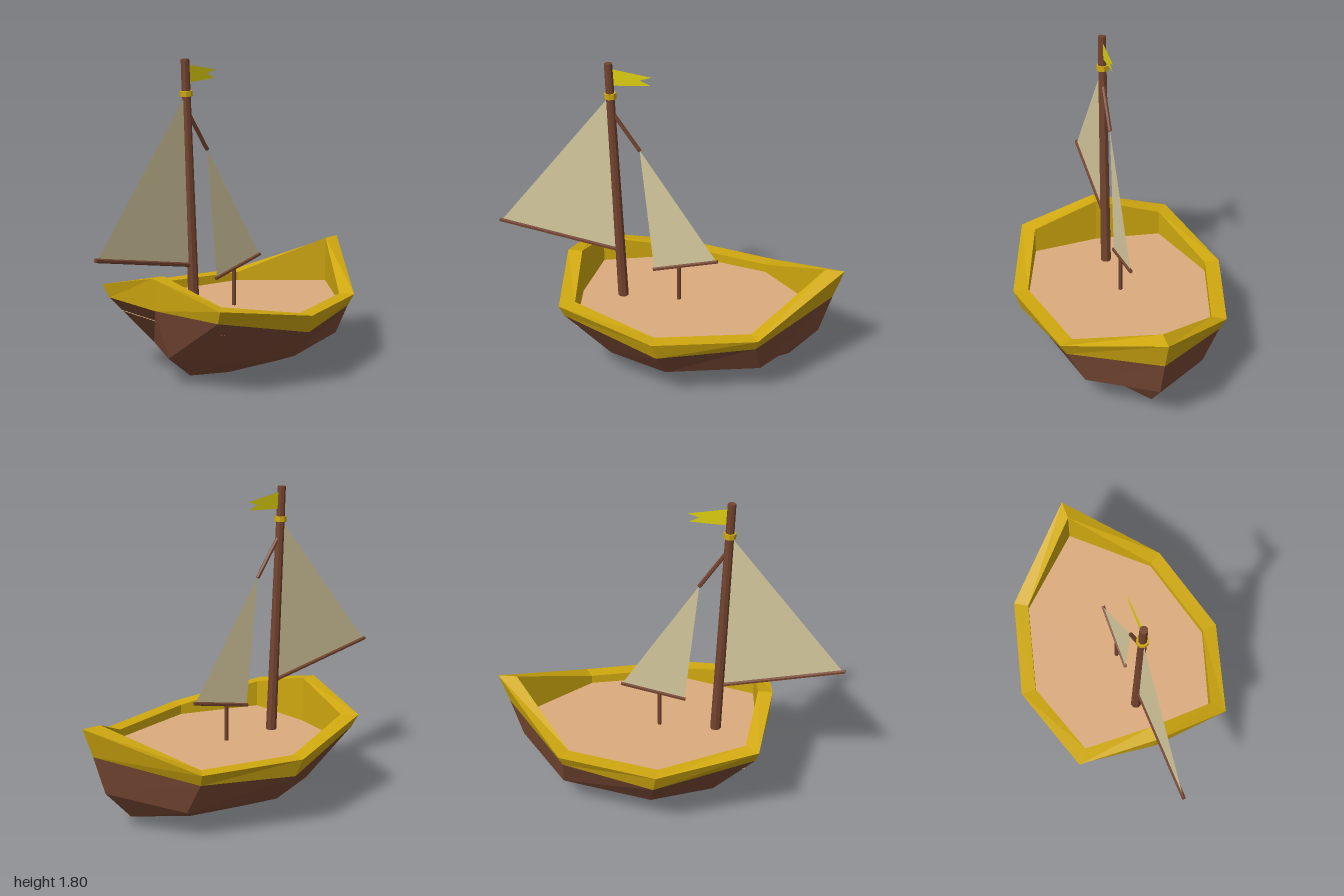
import * as THREE from 'three';

const mat = (name, color, opts = {}) => {
  const m = new THREE.MeshStandardMaterial({ color, flatShading: true, ...opts });
  m.name = name;
  return m;
};

// Closed ring from five half-outline points: stern, stern corner, midship, fore, bow
const ring = (half) => [
  ...half,
  ...half.slice(1, 4).reverse().map(([x, y, z]) => [-x, y, z]),
].map((p) => new THREE.Vector3(...p));

// Flat-faced skin between successive rings (a one-point ring closes the skin)
function loft(rings) {
  const pos = [];
  const tri = (...pts) => pts.forEach((p) => pos.push(p.x, p.y, p.z));
  for (let r = 0; r < rings.length - 1; r++) {
    const a = rings[r], b = rings[r + 1];
    for (let i = 0; i < 8; i++) {
      const j = (i + 1) % 8;
      if (a.length === 1) tri(a[0], b[j], b[i]);
      else if (b.length === 1) tri(a[i], a[j], b[0]);
      else {
        tri(a[i], a[j], b[j]);
        tri(a[i], b[j], b[i]);
      }
    }
  }
  const g = new THREE.BufferGeometry();
  g.setAttribute('position', new THREE.Float32BufferAttribute(pos, 3));
  g.computeVertexNormals();
  return g;
}

// Tapered pole in the centre plane between two [z, y] points
function pole([z0, y0], [z1, y1], r0, r1 = r0, sides = 6) {
  const a = new THREE.Vector3(0, y0, z0), b = new THREE.Vector3(0, y1, z1);
  const dir = b.clone().sub(a);
  const g = new THREE.CylinderGeometry(r1, r0, dir.length(), sides);
  g.applyQuaternion(new THREE.Quaternion().setFromUnitVectors(new THREE.Vector3(0, 1, 0), dir.normalize()));
  return g.translate(0, (y0 + y1) / 2, (z0 + z1) / 2);
}

// Flat cloth in the centre plane from [z, y] points
function cloth(points) {
  const shape = new THREE.Shape(points.map(([z, y]) => new THREE.Vector2(-z, y)));
  return new THREE.ShapeGeometry(shape).rotateY(Math.PI / 2);
}

export function createModel() {
  const boat = new THREE.Group();
  boat.name = 'sailingBoat';
  const hullBrown = mat('hullBrown', 0x7a4a35);
  const railGold = mat('railGold', 0xcfa80f);
  const deckTan = mat('deckTan', 0xdcab7e);
  const sparBrown = mat('sparBrown', 0x74442f);
  const sailCream = mat('sailCream', 0xd9cca0, { side: THREE.DoubleSide });
  const flagYellow = mat('flagYellow', 0xdfd010, { side: THREE.DoubleSide });

  const add = (name, geometry, material) => {
    const m = new THREE.Mesh(geometry, material);
    m.name = name;
    boat.add(m);
    return m;
  };

  // Hull cross-sections, keel upwards
  const keel = [new THREE.Vector3(0, 0, -0.15)];
  const bottom = ring([[0, 0.03, 0.31], [0.2, 0.07, 0.21], [0.28, 0.08, -0.13], [0.21, 0.075, -0.45], [0, 0.065, -0.71]]);
  const bilge = ring([[0, 0.165, 0.48], [0.31, 0.16, 0.29], [0.46, 0.16, -0.05], [0.34, 0.165, -0.57], [0, 0.24, -0.87]]);
  const railBase = ring([[0, 0.455, 0.58], [0.42, 0.45, 0.53], [0.585, 0.325, -0.02], [0.44, 0.35, -0.55], [0, 0.467, -0.94]]);
  const railTop = ring([[0, 0.638, 0.598], [0.455, 0.525, 0.55], [0.622, 0.428, 0], [0.475, 0.42, -0.565], [0, 0.638, -1]]);
  const railInner = ring([[0, 0.638, 0.515], [0.39, 0.525, 0.472], [0.535, 0.428, 0], [0.4, 0.42, -0.52], [0, 0.638, -0.89]]);
  const deckEdge = railInner.map((p) => new THREE.Vector3(p.x, 0.37, p.z));

  add('hull', loft([keel, bottom, bilge, railBase]), hullBrown);
  add('rail', loft([railBase, railTop, railInner, deckEdge]), railGold);
  add('deck', loft([deckEdge, [new THREE.Vector3(0, 0.37, 0)]]), deckTan);

  // Mast and spars
  add('mast', pole([0.275, 0.36], [0.338, 1.8], 0.031, 0.023, 8), sparBrown);
  add('mastCollar', pole([0.329, 1.6], [0.331, 1.63], 0.035, 0.035, 8), railGold);
  add('mainBoom', pole([0.29, 0.663], [1, 0.803], 0.012), sparBrown);
  add('stay', pole([0.315, 1.51], [0.168, 1.295], 0.012), sparBrown);
  add('jibBoom', pole([0.098, 0.552], [-0.277, 0.635], 0.011), sparBrown);
  add('jibPost', pole([-0.053, 0.36], [-0.053, 0.585], 0.012), sparBrown);

  // Sails and swallow-tailed flag
  add('mainSail', cloth([[0.335, 1.61], [0.985, 0.803], [0.295, 0.67]]), sailCream);
  add('jibSail', cloth([[0.17, 1.3], [0.092, 0.555], [-0.27, 0.635]]), sailCream);
  add('flag', cloth([[0.33, 1.77], [0.1, 1.732], [0.165, 1.712], [0.108, 1.685], [0.33, 1.672]]), flagYellow);

  return boat;
}
